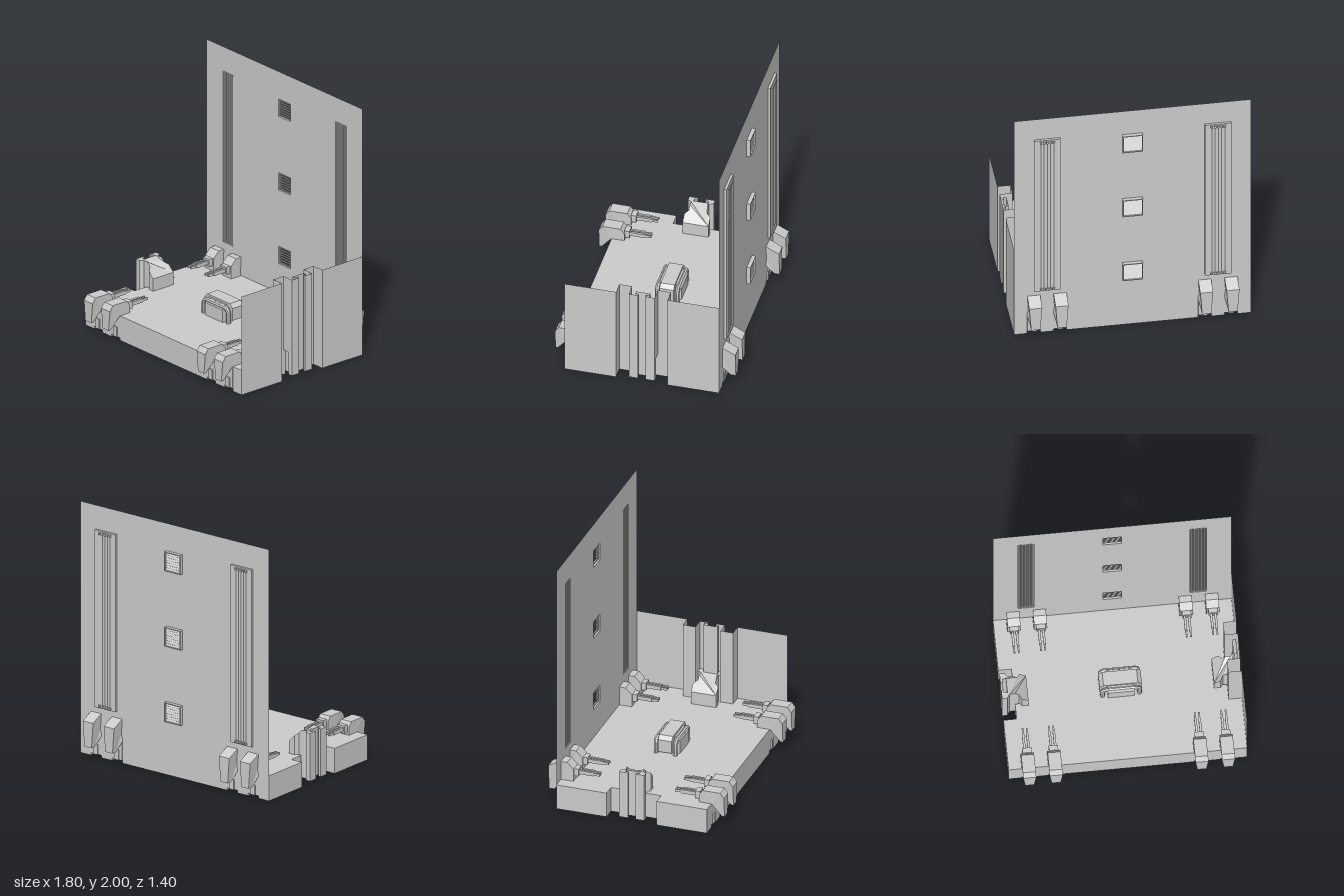
import * as THREE from 'three';

const mat = new THREE.MeshStandardMaterial({ color: 0xcccccc, flatShading: true });
const thin = new THREE.MeshStandardMaterial({ color: 0xcccccc, flatShading: true, side: THREE.DoubleSide });

const toShape = (pts) => new THREE.Shape(pts.map(([a, b]) => new THREE.Vector2(a, b)));
const rect = (x0, x1, y0, y1) => [[x0, y0], [x1, y0], [x1, y1], [x0, y1]];
const solid = (shape, depth) => new THREE.ExtrudeGeometry(shape, { depth, bevelEnabled: false });

// (x, z) outline raised from y0 to y1
function raise(pts, y0, y1) {
  const g = solid(toShape(pts.map(([x, z]) => [x, -z])), y1 - y0);
  return g.rotateX(-Math.PI / 2).translate(0, y0, 0);
}
// (z, y) outline given a width along x
function widen(pts, width) {
  return solid(toShape(pts), width).rotateY(-Math.PI / 2).translate(width / 2, 0, 0);
}
// (x, z) path stretched upright into a thin folded sheet
function sheet(path, y0, y1) {
  const pos = [];
  for (let i = 0; i + 1 < path.length; i++) {
    const [ax, az] = path[i], [bx, bz] = path[i + 1];
    pos.push(ax, y0, az, bx, y0, bz, bx, y1, bz, ax, y0, az, bx, y1, bz, ax, y1, az);
  }
  const g = new THREE.BufferGeometry();
  g.setAttribute('position', new THREE.Float32BufferAttribute(pos, 3));
  g.computeVertexNormals();
  return g;
}
function bend(g, rule) {
  const p = g.attributes.position, v = new THREE.Vector3();
  for (let i = 0; i < p.count; i++) {
    rule(v.fromBufferAttribute(p, i));
    p.setXYZ(i, v.x, v.y, v.z);
  }
  g.computeVertexNormals();
  return g;
}
function add(parent, name, geometry, x = 0, y = 0, z = 0, material = mat) {
  const m = new THREE.Mesh(geometry, material);
  m.name = name;
  m.position.set(x, y, z);
  parent.add(m);
  return m;
}
const box = (w, h, d) => new THREE.BoxGeometry(w, h, d);

// Clamp with twin prongs, reaching over the front or back edge
function clamp(x, side) {
  const g = new THREE.Group();
  g.name = side > 0 ? 'frontClamp' : 'backClamp';
  const profile = side > 0
    ? [[0.5, 0.02], [0.6, 0.02], [0.6, 0.2], [0.68, 0.1], [0.7, 0.1], [0.7, 0.26], [0.67, 0.3], [0.53, 0.3], [0.5, 0.26]]
    : [[-0.5, 0.02], [-0.5, 0.3], [-0.55, 0.35], [-0.6, 0.35], [-0.7, 0.3], [-0.7, 0.1], [-0.66, 0.1], [-0.6, 0.17], [-0.6, 0.02]];
  const body = bend(widen(profile, 0.098), (v) => {
    if (Math.abs(v.z) > 0.65 && v.y < 0.15) v.x *= 0.7;
  });
  add(g, 'clampBody', body);
  add(g, 'clampFoot', box(0.04, 0.08, 0.02), 0, 0.06, side * 0.6);
  const y = side > 0 ? 0.25 : 0.27;
  add(g, 'prongMount', box(0.07, 0.06, 0.04), 0, y, side * 0.485);
  for (const s of [-1, 1]) {
    add(g, 'prong', box(0.018, 0.03, 0.12), s * 0.016, y, side * 0.41);
    add(g, 'prongTip', box(0.012, 0.02, 0.06), s * 0.016, y, side * 0.33);
  }
  g.position.x = x;
  return g;
}

// Edge connector with a T-shaped slot and a sloping inner top
function connector(side) {
  const half = [[0.7, 0.1], [0.75, 0.1], [0.77, 0.07], [0.8, 0.07], [0.84, 0.07], [0.86, 0.1],
    [0.9, 0.1], [0.9, 0.03], [0.88, 0.03], [0.88, 0.055], [0.855, 0.055]];
  const pts = [...half, ...half.map(([x, z]) => [x, -z]).reverse()].map(([x, z]) => [side * x, z]);
  return bend(raise(pts, 0.02, 0.4), (v) => {
    if (v.y > 0.2) v.y = Math.min(0.4, Math.abs(v.x) - 0.4);
  });
}

// Console with a bar looped over each end
function buildConsole() {
  const g = new THREE.Group();
  g.name = 'console';
  add(g, 'consoleBody', widen([[-0.1, 0.2], [0.1, 0.2], [0.1, 0.3], [0.07, 0.335], [-0.07, 0.335], [-0.1, 0.3]], 0.2));
  const hood = [[-0.16, 0.22], [0.16, 0.22], [0.16, 0.32], [0.13, 0.35], [-0.13, 0.35], [-0.16, 0.32]];
  add(g, 'consoleHood', solid(toShape(hood), 0.11), 0, 0, -0.055);
  for (const z of [-0.077, 0.077]) {
    const pts = [[-0.14, 0.2], [-0.14, 0.29], [-0.12, 0.315], [0.12, 0.315], [0.14, 0.29], [0.14, 0.2]];
    const path = new THREE.CurvePath();
    const v = pts.map(([x, y]) => new THREE.Vector3(x, y, z));
    for (let i = 0; i + 1 < v.length; i++) path.add(new THREE.LineCurve3(v[i], v[i + 1]));
    add(g, 'consoleBar', new THREE.TubeGeometry(path, 40, 0.018, 8));
  }
  return g;
}

export function createModel() {
  const model = new THREE.Group();
  model.name = 'roomSection';

  // Floor slab, with clamp slots and side recesses
  const q = [[0.5, 0.6], [0.5, 0.5], [0.6, 0.5], [0.6, 0.6], [0.7, 0.6], [0.7, 0.5], [0.8, 0.5],
    [0.8, 0.6], [0.9, 0.6], [0.9, 0.2], [0.8, 0.2], [0.8, 0.08], [0.74, 0.08]];
  const flip = (sx, sz) => q.map(([x, z]) => [sx * x, sz * z]);
  add(model, 'floorSlab', raise([...flip(1, 1), ...flip(1, -1).reverse(), ...flip(-1, -1), ...flip(-1, 1).reverse()], 0, 0.2));

  // Back wall with openings for vents and ribbed channels
  const vents = [0.505, 1.105, 1.705];
  const wall = toShape(rect(-0.9, 0.9, 0.2, 2));
  for (const y of vents) wall.holes.push(toShape(rect(-0.075, 0.075, y - 0.075, y + 0.075)));
  for (const s of [-1, 1]) wall.holes.push(toShape(rect(s * 0.65 - 0.062, s * 0.65 + 0.062, 0.41, 1.8)));
  add(model, 'backWall', new THREE.ShapeGeometry(wall), 0, 0, -0.6, thin);

  // Louvred vents
  for (const y of vents) {
    const rim = toShape(rect(-0.077, 0.077, -0.077, 0.077));
    rim.holes.push(toShape(rect(-0.07, 0.07, -0.07, 0.07)));
    add(model, 'ventRim', solid(rim, 0.03), 0, y, -0.63);
    for (let i = 0; i < 7; i++) {
      const slat = add(model, 'ventSlat', box(0.144, 0.023, 0.005), 0, y + (i - 3) * 0.0205, -0.613);
      slat.rotation.x = 0.5;
    }
  }

  // Ribbed channels let into the back wall
  for (const s of [-1, 1]) {
    const x = s * 0.65;
    const frame = toShape(rect(-0.1, 0.1, 0.4, 1.81));
    frame.holes.push(toShape(rect(-0.062, 0.062, 0.41, 1.8)));
    add(model, 'channelFrame', solid(frame, 0.0195), x, 0, -0.62);
    add(model, 'channelBack', box(0.124, 1.39, 0.004), x, 1.105, -0.618);
    for (let i = -2; i <= 2; i++) {
      add(model, 'channelRod', new THREE.CylinderGeometry(0.0105, 0.0105, 1.38, 10), x + i * 0.0245, 1.105, -0.611);
      for (const y of [0.418, 1.79]) add(model, 'rodEnd', box(0.017, 0.018, 0.014), x + i * 0.0245, y, -0.625);
    }
  }

  // Folded side wall on the model's left
  const half = [[0.9, 0.6], [0.9, 0.2], [0.8, 0.2], [0.8, 0.1], [0.9, 0.1], [0.9, 0.03], [0.88, 0.03], [0.88, 0.055], [0.855, 0.055]];
  add(model, 'sideWall', sheet([...half, ...half.map(([x, z]) => [x, -z]).reverse()], 0.2, 0.8), 0, 0, 0, thin);

  for (const s of [-1, 1]) {
    add(model, 'edgeConnector', connector(s));
    for (const x of [0.55, 0.75]) model.add(clamp(s * x, 1), clamp(s * x, -1));
  }
  model.add(buildConsole());
  return model;
}
